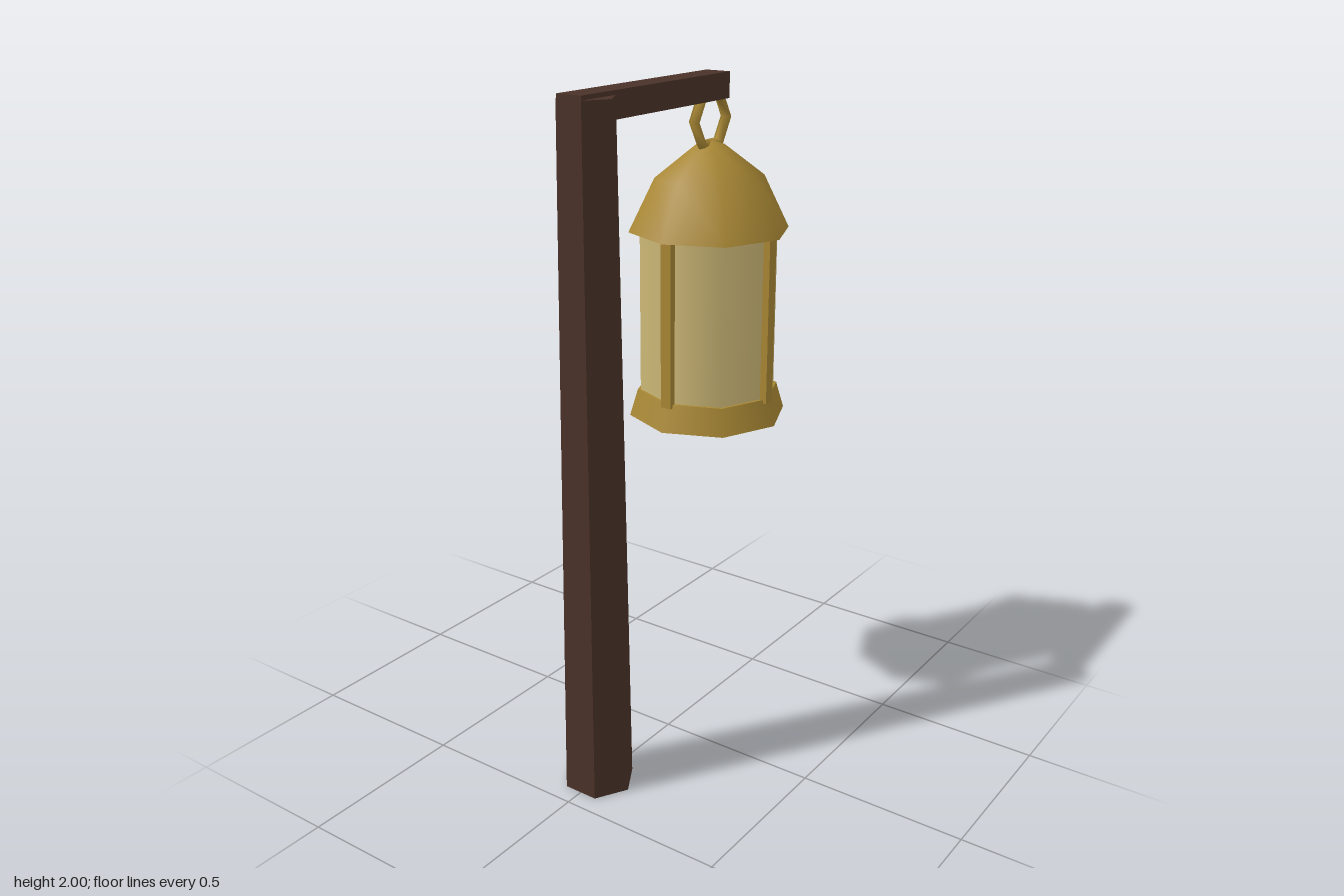
import * as THREE from 'three';

export function createModel() {
  const model = new THREE.Group();
  const mat = (color, flatShading = false) => new THREE.MeshStandardMaterial({ color, flatShading });
  const wood = mat(0x4a3228, true);
  const brass = mat(0xa88734);
  const brassFlat = mat(0xa88734, true);
  const glass = mat(0xcdb877);

  const add = (parent, name, geometry, material, x, y, z) => {
    const mesh = new THREE.Mesh(geometry, material);
    mesh.name = name;
    mesh.position.set(x, y, z);
    parent.add(mesh);
    return mesh;
  };

  // Tapered hexagonal post and the arm on top of it
  add(model, 'post', new THREE.CylinderGeometry(0.08, 0.105, 1.988, 6), wood, -0.352, 0.994, 0);
  add(model, 'arm', new THREE.BoxGeometry(0.66, 0.073, 0.078), wood, -0.09, 1.9635, 0);

  // Eight-sided lantern hanging from the arm
  const lantern = new THREE.Group();
  lantern.name = 'lantern';
  lantern.position.x = 0.203;
  model.add(lantern);

  add(lantern, 'lanternBase', new THREE.CylinderGeometry(0.212, 0.236, 0.08, 8), brass, 0, 1.04, 0);
  add(lantern, 'glass', new THREE.CylinderGeometry(0.203, 0.203, 0.5, 8, 1, true), glass, 0, 1.32, 0);

  // Domed roof, closed underneath
  const roofProfile = [[0.236, 1.556], [0.16, 1.71], [0.042, 1.8], [0, 1.813]];
  add(lantern, 'roof',
    new THREE.LatheGeometry(roofProfile.map(([r, y]) => new THREE.Vector2(r, y)), 8), brass, 0, 0, 0);
  const soffit = add(lantern, 'roofUnderside', new THREE.CircleGeometry(0.236, 8), brassFlat, 0, 1.556, 0);
  soffit.rotation.x = Math.PI / 2;

  // Four corner bars around the glass
  for (let i = 0; i < 4; i++) {
    const a = (i * Math.PI) / 2;
    const bar = add(lantern, 'bar', new THREE.BoxGeometry(0.034, 0.49, 0.034), brassFlat,
      Math.sin(a) * 0.2, 1.315, Math.cos(a) * 0.2);
    bar.rotation.y = a;
  }

  // Six-sided hanging ring
  add(lantern, 'ring', new THREE.TorusGeometry(0.08, 0.018, 4, 6), brass, 0, 1.87, 0);

  return model;
}
